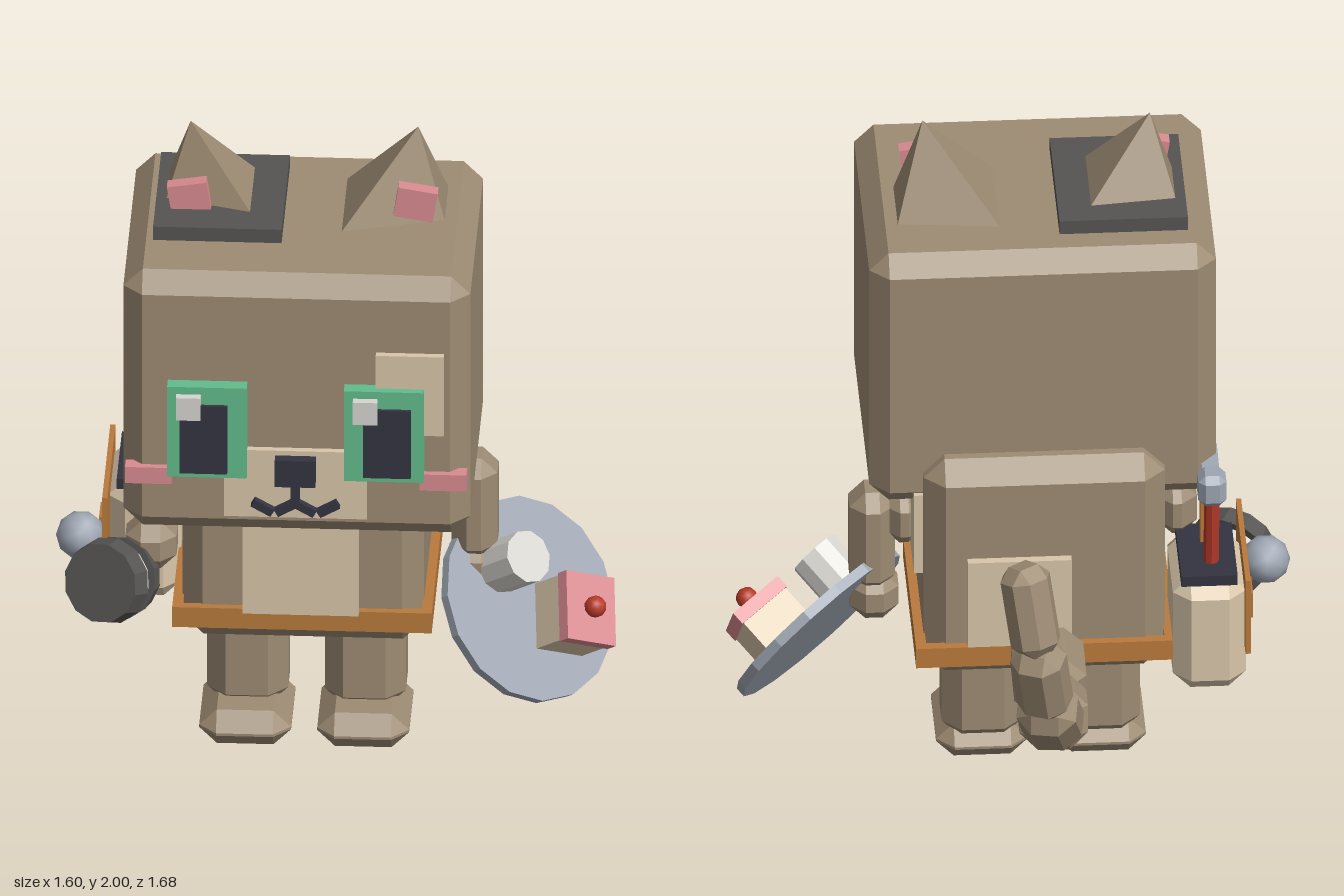
import * as THREE from 'three';
import { ConvexGeometry } from 'three/addons/geometries/ConvexGeometry.js';

const V = (x, y, z) => new THREE.Vector3(x, y, z);
const CX = -0.087; // the body's own mirror line

export function createModel() {
  const model = new THREE.Group();
  model.name = 'boxCat';

  const paint = (name, color) => {
    const m = new THREE.MeshStandardMaterial({ color });
    m.name = name;
    return m;
  };
  const fur = paint('brown fur', 0x9d8b73);
  const cream = paint('cream', 0xd9c6aa);
  const green = paint('eye green', 0x62bc8c);
  const pink = paint('pink', 0xd98b90);
  const dark = paint('ink dark', 0x343442);
  const leather = paint('orange leather', 0xb97a3c);
  const metal = paint('blue grey metal', 0x9ea6b2);
  const white = paint('off white', 0xd8d6d0);
  const charcoal = paint('charcoal', 0x565452);
  const red = paint('red', 0xb83a2a);

  const add = (name, geo, mat, parent = model) => {
    const mesh = new THREE.Mesh(geo, mat);
    mesh.name = name;
    parent.add(mesh);
    return mesh;
  };
  const flat = (geo) => {
    const g = geo.index ? geo.toNonIndexed() : geo;
    g.computeVertexNormals();
    return g;
  };
  // box with every edge cut at 45 degrees
  const chamferGeo = (w, h, d, b) => {
    const pts = [];
    for (const i of [-1, 1]) for (const j of [-1, 1]) for (const k of [-1, 1]) {
      const x = w / 2, y = h / 2, z = d / 2;
      pts.push(V(i * x, j * (y - b), k * (z - b)), V(i * (x - b), j * y, k * (z - b)), V(i * (x - b), j * (y - b), k * z));
    }
    return new ConvexGeometry(pts);
  };
  // both take the extents along each axis
  const chamfer = (name, mat, x0, x1, y0, y1, z0, z1, b) => {
    const m = add(name, chamferGeo(x1 - x0, y1 - y0, z1 - z0, b), mat);
    m.position.set((x0 + x1) / 2, (y0 + y1) / 2, (z0 + z1) / 2);
    return m;
  };
  const box = (name, mat, x0, x1, y0, y1, z0, z1) => {
    const m = add(name, new THREE.BoxGeometry(x1 - x0, y1 - y0, z1 - z0), mat);
    m.position.set((x0 + x1) / 2, (y0 + y1) / 2, (z0 + z1) / 2);
    return m;
  };
  const drum = (name, mat, r0, r1, h, sides, parent, x, y, z) => {
    const m = add(name, flat(new THREE.CylinderGeometry(r0, r1, h, sides)), mat, parent);
    m.position.set(x, y, z);
    return m;
  };

  // head and body
  chamfer('head', fur, -0.58, 0.405, 0.91, 1.737, -0.02, 0.77, 0.055);
  chamfer('body', fur, -0.43, 0.256, 0.38, 1.09, -0.105, 0.445, 0.06);
  box('bellyPatch', cream, -0.255, 0.075, 0.5, 0.93, 0.42, 0.48);
  box('backPatch', cream, -0.16, 0.135, 0.5, 0.79, -0.13, -0.09);
  box('sidePatch', cream, 0.24, 0.282, 0.7, 0.96, -0.03, 0.24);

  // belt as a hollow frame
  box('beltFront', leather, -0.455, 0.282, 0.444, 0.508, 0.44, 0.467);
  box('beltBack', leather, -0.455, 0.282, 0.444, 0.508, -0.13, -0.1);
  box('beltRight', leather, -0.455, -0.425, 0.444, 0.508, -0.1, 0.44);
  box('beltLeft', leather, 0.252, 0.282, 0.444, 0.508, -0.1, 0.44);

  for (const s of [-1, 1]) {
    const side = s < 0 ? 'right' : 'left';
    const mx = (x) => CX + s * x;
    const span = (a, b) => [Math.min(mx(a), mx(b)), Math.max(mx(a), mx(b))];

    // legs and feet
    chamfer(side + 'Leg', fur, ...span(0.052, 0.282), 0.06, 0.45, 0.05, 0.26, 0.055);
    chamfer(side + 'Foot', fur, ...span(0.037, 0.298), 0, 0.108, 0.05, 0.385, 0.05);

    // ears, leaning outwards
    const y = 1.735;
    add(side + 'Ear', new ConvexGeometry([
      V(mx(0.112), y, 0.155), V(mx(0.402), y, 0.185), V(mx(0.402), y, 0.385),
      V(mx(0.112), y, 0.47), V(mx(0.323), 2, 0.317)]), fur);
    const inner = box(side + 'InnerEar', pink, ...span(0.265, 0.378), 1.765, 1.858, 0.395, 0.437);
    inner.rotation.z = -s * 0.16;

    // eyes, with the glint on the same side of both
    const [e0, e1] = span(0.138, 0.364);
    box(side + 'Eye', green, e0, e1, 1.12, 1.41, 0.76, 0.812);
    box(side + 'Pupil', dark, ...span(0.193, 0.328), 1.137, 1.355, 0.8, 0.823);
    box(side + 'Glint', white, e0 + 0.026, e0 + 0.096, 1.315, 1.387, 0.8, 0.836);
    box(side + 'Cheek', pink, ...span(0.352, 0.485), 1.083, 1.135, 0.745, 0.79);

    // mouth strokes
    const innerLip = box(side + 'InnerLip', dark, mx(0.027) - 0.032, mx(0.027) + 0.032, 1.012, 1.036, 0.78, 0.812);
    innerLip.rotation.z = -s * 0.52;
    const outerLip = box(side + 'OuterLip', dark, mx(0.093) - 0.032, mx(0.093) + 0.032, 1.012, 1.036, 0.78, 0.812);
    outerLip.rotation.z = s * 0.52;

    // arms
    chamfer(side + 'Shoulder', fur, ...span(0.33, 0.445), 0.7, 0.87, 0.09, 0.25, 0.045);
  }
  box('earPatch', charcoal, -0.505, -0.14, 1.73, 1.78, 0.105, 0.545);
  box('browPatch', cream, 0.14, 0.333, 1.26, 1.515, 0.76, 0.79);
  box('muzzle', cream, -0.29, 0.115, 0.985, 1.2, 0.76, 0.79);
  box('nose', dark, -0.145, -0.03, 1.1, 1.185, 0.78, 0.822);
  box('philtrum', dark, -0.1, -0.075, 1.03, 1.11, 0.78, 0.812);
  chamfer('leftArm', fur, 0.325, 0.455, 0.55, 0.87, 0.09, 0.25, 0.045);
  chamfer('leftHand', fur, 0.315, 0.455, 0.45, 0.6, 0.09, 0.25, 0.045);
  chamfer('rightHand', fur, -0.6, -0.455, 0.5, 0.65, 0.1, 0.27, 0.045);

  // tail of overlapping segments
  const path = [V(-0.09, 0.475, -0.08), V(-0.09, 0.45, -0.32), V(-0.085, 0.495, -0.53),
    V(-0.05, 0.675, -0.71), V(-0.02, 0.905, -0.78), V(0.015, 1.15, -0.73)];
  const widths = [0.205, 0.195, 0.17, 0.15, 0.135];
  widths.forEach((w, i) => {
    const a = path[i], b = path[i + 1];
    const seg = add('tailSegment', chamferGeo(w, w * 0.95, a.distanceTo(b) + 0.02, w * 0.27), fur);
    seg.position.copy(a).lerp(b, 0.5);
    seg.lookAt(b);
  });

  // tilted plate with a cup and a small cake
  const tray = new THREE.Group();
  tray.name = 'plateOfTreats';
  tray.position.set(0.54, 0.408, 0.187);
  tray.rotation.set(0.976, 0.862, 0, 'YXZ');
  model.add(tray);
  drum('plate', metal, 0.298, 0.298, 0.03, 16, tray, 0, 0, 0);
  drum('cup', white, 0.077, 0.077, 0.14, 10, tray, -0.057, 0.08, -0.12);
  const cake = new THREE.Group();
  cake.name = 'cake';
  cake.position.set(0.06, 0, 0.09);
  cake.rotation.y = -0.5;
  tray.add(cake);
  add('sponge', new THREE.BoxGeometry(0.16, 0.12, 0.19), cream, cake).position.y = 0.07;
  add('icing', new THREE.BoxGeometry(0.17, 0.04, 0.2), pink, cake).position.y = 0.15;
  add('cherry', new THREE.IcosahedronGeometry(0.032, 1), red, cake).position.y = 0.19;

  // tool bag on the right hip
  chamfer('bag', cream, -0.655, -0.447, 0.35, 0.72, -0.18, 0.16, 0.05);
  box('bagOpening', dark, -0.63, -0.47, 0.7, 0.733, -0.15, 0.13);
  box('bagFlap', leather, -0.665, -0.65, 0.49, 0.735, -0.185, 0.25);
  box('bagClasp', leather, -0.683, -0.66, 0.5, 0.58, -0.01, 0.08);
  box('bagStrap', leather, -0.57, -0.535, 0.7, 1.0, 0.03, 0.065);

  // hammer standing in the bag
  const handle = drum('hammerHandle', red, 0.022, 0.022, 0.28, 8, model, -0.56, 0.85, -0.08);
  handle.rotation.x = -0.12;
  chamfer('hammerHead', metal, -0.6, -0.52, 0.95, 1.05, -0.14, -0.05, 0.02);
  const claw = box('hammerClaw', metal, -0.585, -0.535, 0.99, 1.025, -0.06, 0.08);
  claw.rotation.x = -0.1;

  // banded canister and ball held in the right hand
  const canister = new THREE.Group();
  canister.name = 'canister';
  canister.position.set(-0.62, 0.5, 0.29);
  canister.quaternion.setFromUnitVectors(V(0, 1, 0), V(-0.42, 0.3, 0.86).normalize());
  model.add(canister);
  drum('canisterFront', charcoal, 0.115, 0.125, 0.06, 12, canister, 0, 0.075, 0);
  drum('canisterBand', white, 0.1, 0.1, 0.05, 12, canister, 0, 0.02, 0);
  drum('canisterBack', charcoal, 0.12, 0.105, 0.06, 12, canister, 0, -0.035, 0);
  add('ball', new THREE.IcosahedronGeometry(0.07, 1), metal).position.set(-0.73, 0.575, 0.178);

  return model;
}
